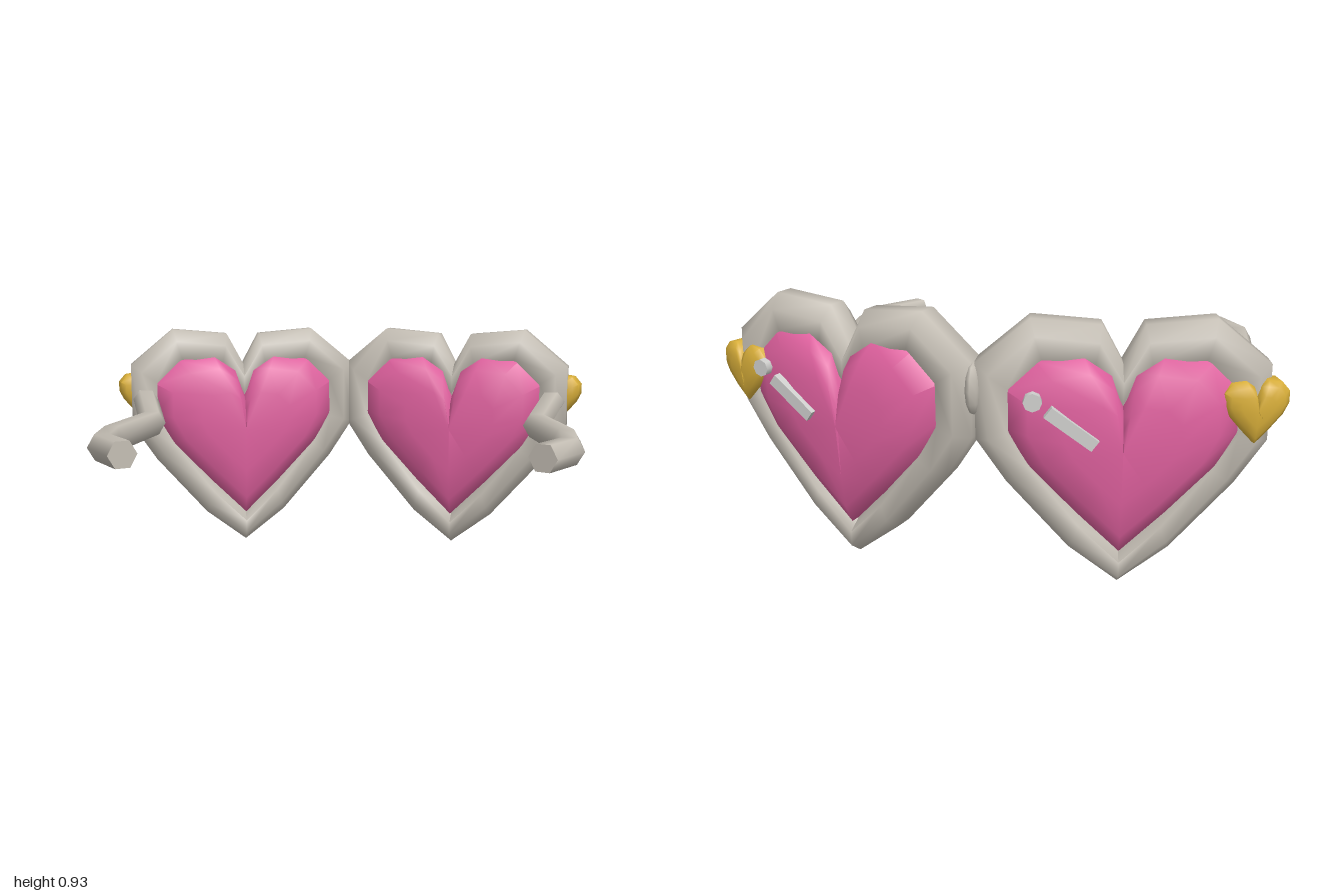
import * as THREE from 'three';
import { mergeVertices, toCreasedNormals } from 'three/addons/utils/BufferGeometryUtils.js';

const material = (name, color) => Object.assign(new THREE.MeshStandardMaterial({ color }), { name });

// Skin a list of rings (arrays of Vector3, each running right-handed about the path).
function loft(rings, closed = false) {
  const n = rings[0].length, index = [];
  const last = closed ? rings.length : rings.length - 1;
  for (let i = 0; i < last; i++) {
    for (let j = 0; j < n; j++) {
      const a = i * n + j, b = i * n + (j + 1) % n;
      const k = ((i + 1) % rings.length) * n;
      const c = k + j, d = k + (j + 1) % n;
      index.push(a, b, c, b, d, c);
    }
  }
  const geo = new THREE.BufferGeometry().setFromPoints(rings.flat());
  geo.setIndex(index);
  return toCreasedNormals(mergeVertices(geo), 1.2);
}

// Complete a half heart (notch to tip, clockwise) with its mirrored side.
const heart = half => [...half, ...half.slice(1, -1).reverse().map(([x, y]) => [-x, y])];

const OUTER = heart([[0, 0.79], [0.07, 0.92], [0.30, 0.94], [0.48, 0.79],
  [0.48, 0.53], [0.38, 0.38], [0.17, 0.14], [0, 0.01]]);
const INNER = heart([[0, 0.62], [0.10, 0.75], [0.25, 0.77], [0.33, 0.69],
  [0.33, 0.57], [0.26, 0.46], [0.12, 0.27], [0, 0.14]]);
const LENS = heart([[0, 0.66], [0.04, 0.77], [0.13, 0.83], [0.28, 0.81], [0.375, 0.71],
  [0.375, 0.58], [0.31, 0.46], [0.15, 0.29], [0, 0.14]]);

// Octagonal rim spanning the outer and inner outlines.
function rimGeometry() {
  const r = 1 / Math.cos(Math.PI / 8);
  return loft(OUTER.map(([ox, oy], i) => {
    const [ix, iy] = INNER[i];
    return Array.from({ length: 8 }, (_, j) => {
      const a = (j + 0.5) * Math.PI / 4;
      const t = 0.5 + 0.5 * r * Math.cos(a);
      return new THREE.Vector3(ix + (ox - ix) * t, iy + (oy - iy) * t, 0.085 * r * Math.sin(a));
    });
  }), true);
}

// Heart puffed out on both faces, with a shallow valley down the middle.
function puffedHeart() {
  const front = [[0, 0.14], [0.5, 0.137], [0.82, 0.118], [1, 0.08]];
  const levels = [...front, ...front.map(([s, z]) => [s, -z]).reverse()];
  return loft(levels.map(([s, z]) => LENS.map(([x, y]) =>
    new THREE.Vector3(x * s, 0.52 + (y - 0.52) * s, z * (x === 0 ? 0.9 : 1)))));
}

// Hexagonal temple arm with mitred bends and flat ends.
function templeGeometry(side) {
  const path = [[0.89, 0.65, -0.48], [0.85, 0.64, -0.35], [0.755, 0.59, -0.04],
    [0.805, 0.59, 0.37], [0.785, 0.59, 0.57], [0.677, 0.59, 0.723]]
    .map(([x, y, z]) => new THREE.Vector3(x * side, y, z));
  const up = new THREE.Vector3(0, 1, 0);
  const rings = path.map((p, i) => {
    const before = path[Math.max(i - 1, 0)], after = path[Math.min(i + 1, path.length - 1)];
    const across = up.clone().cross(after.clone().sub(before).setY(0).normalize());
    return Array.from({ length: 6 }, (_, j) => {
      const a = j * Math.PI / 3;
      return p.clone().addScaledVector(across, 0.052 * Math.cos(a)).addScaledVector(up, 0.052 * Math.sin(a));
    });
  });
  const cap = p => Array.from({ length: 6 }, () => p.clone());
  return loft([cap(path[0]), ...rings, cap(path[path.length - 1])]);
}

export function createModel() {
  const model = new THREE.Group();
  model.name = 'heartGlasses';
  const frameGrey = material('frame grey', 0xc4beb4);
  const lensPink = material('lens pink', 0xe0619f);
  const gold = material('gold', 0xd9af3a);
  const silver = material('glint silver', 0xd0d0ce);

  const add = (parent, name, geo, mat, x = 0, y = 0, z = 0) => {
    const mesh = new THREE.Mesh(geo, mat);
    mesh.name = name;
    mesh.position.set(x, y, z);
    parent.add(mesh);
    return mesh;
  };

  const rim = rimGeometry(), puff = puffedHeart();
  for (const side of [1, -1]) {
    const label = side > 0 ? 'left' : 'right';

    // Rim and lens, swept back toward the temple
    const eye = new THREE.Group();
    eye.name = label + 'Eyepiece';
    eye.position.set(0.465 * side, 0, -0.54);
    eye.rotation.y = -0.235 * side;
    add(eye, label + 'Rim', rim, frameGrey);
    add(eye, label + 'Lens', puff, lensPink);
    model.add(eye);

    add(model, label + 'Temple', templeGeometry(side), frameGrey);

    // Small gold heart on the outer corner
    const charm = add(model, label + 'GoldHeart', puff, gold, 0.888 * side, 0.49, -0.495);
    charm.scale.set(0.29, 0.313, 0.4);
    charm.rotation.y = -0.4 * side;

    // Glint dot and bar, leaning the same way on both lenses
    const glint = new THREE.Group();
    glint.name = label + 'Glint';
    glint.position.set(side > 0 ? 0.665 : -0.335, 0.605, side > 0 ? -0.64 : -0.715);
    glint.rotation.y = -0.235 * side;
    const bar = add(glint, label + 'GlintBar', new THREE.BoxGeometry(0.19, 0.042, 0.028), silver);
    bar.rotation.z = 0.64;
    const dot = add(glint, label + 'GlintDot',
      new THREE.CylinderGeometry(0.031, 0.031, 0.028, 8), silver, 0.125, 0.09, 0);
    dot.rotation.x = Math.PI / 2;
    model.add(glint);
  }

  // Bridge stud between the rims
  const stud = add(model, 'bridgeStud', new THREE.SphereGeometry(1, 8, 6), frameGrey, 0, 0.7, -0.675);
  stud.scale.set(0.028, 0.09, 0.055);
  return model;
}
